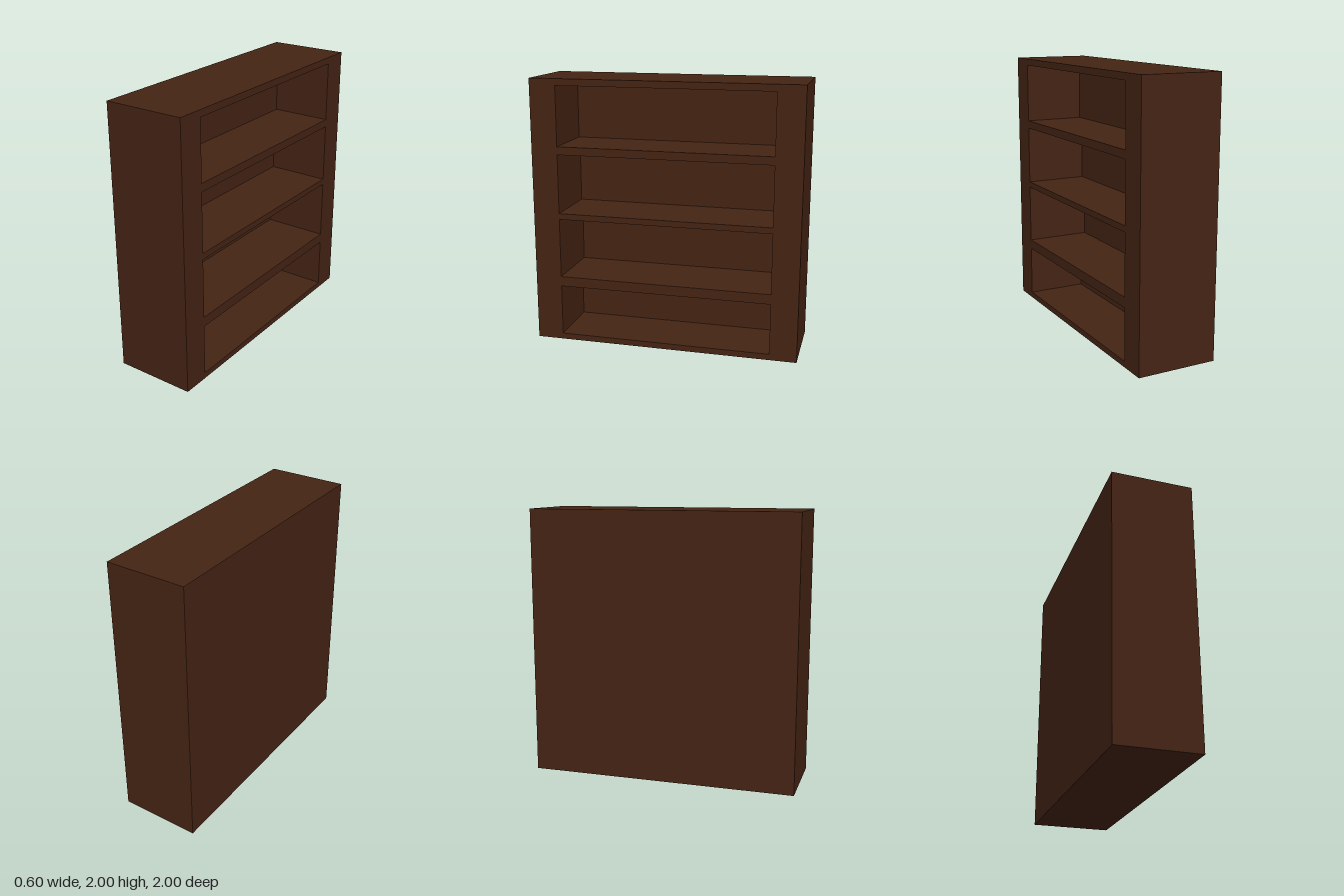
import * as THREE from 'three';

const WIDTH = 0.6, HEIGHT = 2, LENGTH = 2, OPENING = 1.6;

// Recesses in the open (+x) side: bottom, top, depth
const RECESSES = [
  [0.045, 0.43, 0.46],
  [0.505, 0.955, 0.5],
  [1.0, 1.445, 0.48],
  [1.505, 1.95, 0.46],
];

// Box without its +x side; inward turns the faces to the inside
function openBox(w, h, d, inward) {
  const geo = new THREE.BoxGeometry(w, h, d);
  const index = Array.from(geo.index.array).slice(6);
  geo.setIndex(inward ? index.reverse() : index);
  geo.clearGroups();
  if (inward) geo.attributes.normal.array.forEach((n, i, a) => { a[i] = -n; });
  return geo;
}

function rectangle(target, w, y0, y1) {
  target.moveTo(-w / 2, y0);
  target.lineTo(w / 2, y0);
  target.lineTo(w / 2, y1);
  target.lineTo(-w / 2, y1);
  target.closePath();
  return target;
}

export function createModel() {
  const group = new THREE.Group();
  group.name = 'bookcase';
  const wood = new THREE.MeshStandardMaterial({ color: 0x452414 });

  const add = (name, geo, x, y) => {
    const mesh = new THREE.Mesh(geo, wood);
    mesh.name = name;
    mesh.position.set(x, y, 0);
    group.add(mesh);
  };

  // Outer case: top, bottom, ends and back
  add('case', openBox(WIDTH, HEIGHT, LENGTH, false), 0, HEIGHT / 2);

  // Face frame with one opening per shelf
  const frame = rectangle(new THREE.Shape(), LENGTH, 0, HEIGHT);
  for (const [y0, y1] of RECESSES) {
    frame.holes.push(rectangle(new THREE.Path(), OPENING, y0, y1));
  }
  add('faceFrame', new THREE.ShapeGeometry(frame).rotateY(Math.PI / 2), WIDTH / 2, 0);

  // Shelf compartments behind the openings
  RECESSES.forEach(([y0, y1, depth], i) => {
    add(`shelfCompartment${i + 1}`, openBox(depth, y1 - y0, OPENING, true),
      WIDTH / 2 - depth / 2, (y0 + y1) / 2);
  });

  return group;
}
